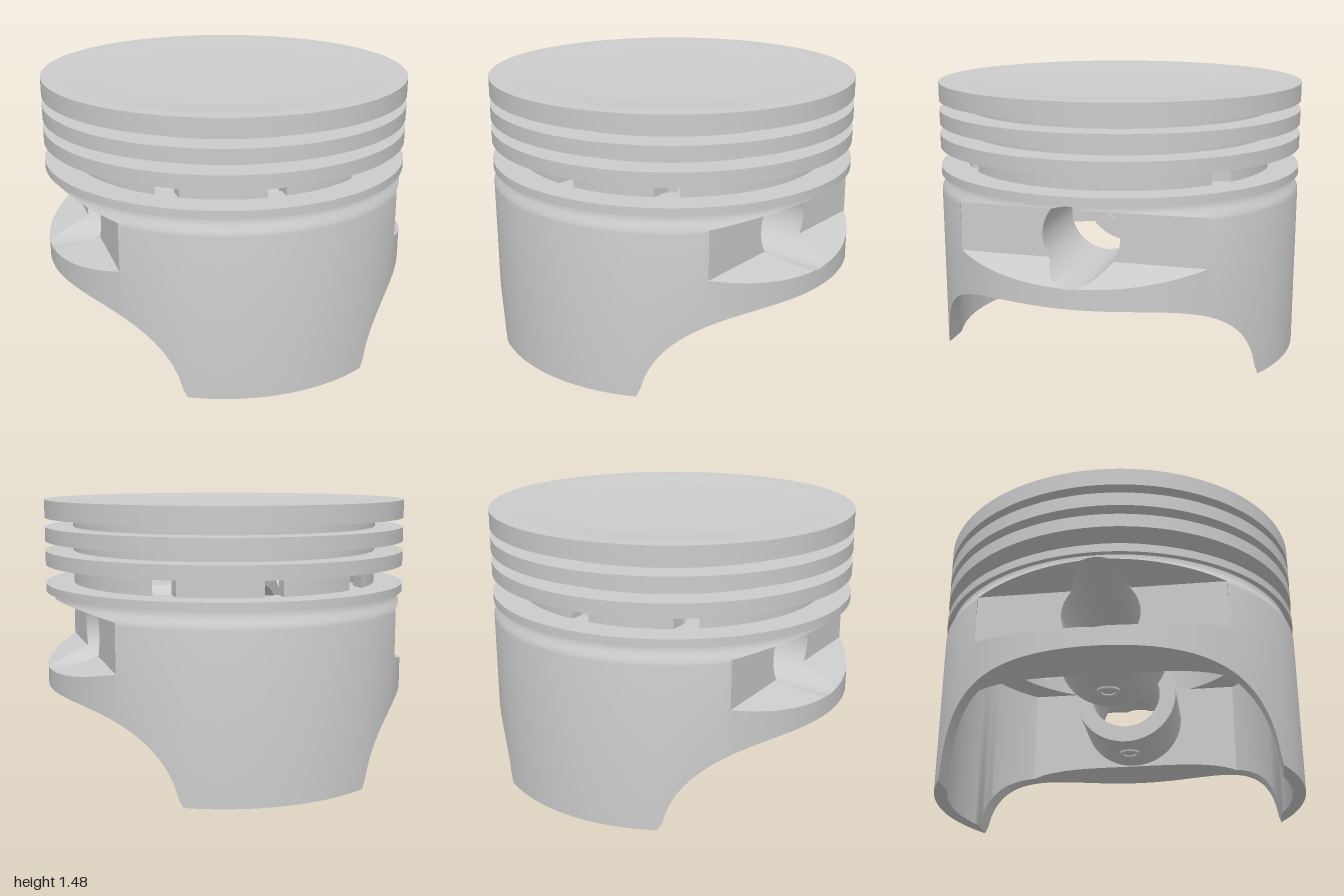
import * as THREE from 'three';
import { toCreasedNormals } from 'three/addons/utils/BufferGeometryUtils.js';

const V = (x, y, z) => new THREE.Vector3(x, y, z);
const WALL = 0.93, FLAT = 0.68, POCKET = 0.76, HALF = 0.65;   // inner radius, inner flat, pocket floor, pocket half width
const PIN_Y = 0.76, PIN_R = 0.205, SKIRT_TOP = 0.975, LIP = 0.9;
const BELT = 0.77;                                            // inner radius behind the rings
const innerEnd = Math.sqrt(WALL * WALL - FLAT * FLAT);
const material = new THREE.MeshStandardMaterial({ color: 0xcccccc });

function mesh(name, geometry, crease = 0.5) {
  const m = new THREE.Mesh(toCreasedNormals(geometry, crease), material);
  m.name = name;
  return m;
}

// Skin closed cross-section loops into one surface
function loft(loops) {
  const n = loops[0].length, pos = [], index = [];
  loops.forEach(loop => loop.forEach(p => pos.push(p.x, p.y, p.z)));
  const at = (i, k) => i * n + (k % n);
  const point = i => loops[Math.floor(i / n)][i % n];
  const tri = (a, b, c) => {
    if (new THREE.Triangle(point(a), point(b), point(c)).getArea() > 1e-9) index.push(a, b, c);
  };
  for (let i = 0; i < loops.length - 1; i++) {
    for (let k = 0; k < n; k++) {
      tri(at(i, k), at(i + 1, k), at(i + 1, k + 1));
      tri(at(i, k), at(i + 1, k + 1), at(i, k + 1));
    }
  }
  const g = new THREE.BufferGeometry();
  g.setAttribute('position', new THREE.Float32BufferAttribute(pos, 3));
  g.setIndex(index);
  return g;
}

const lathe = pts => new THREE.LatheGeometry(pts.map(p => new THREE.Vector2(...p)), 128);

// Height of the arched lower edge at depth z
function arch(z) {
  const x = Math.sqrt(Math.max(0, 1 - z * z));
  if (x < 0.481) return 0;
  if (x < 0.5) return (x - 0.48) / 0.02 * 0.045;
  return Math.sqrt(0.26 - (1 - x) ** 2) - 0.055;
}
// Skirt radius, rounding in near the top
const taper = y => 1 - 0.03 * THREE.MathUtils.smoothstep(y, 0.885, 0.96);
// Profile of the side pocket: flat floor with sloping lips
function pocket(y) {
  if (y < 0.64) return POCKET + (0.64 - y) * 3;
  return y > LIP ? POCKET + (y - LIP) * 4.2 : POCKET;
}
// Height where the upper lip meets the skirt surface
function lipEdge(X) {
  let lo = LIP, hi = SKIRT_TOP;
  for (let i = 0; i < 24; i++) {
    const y = (lo + hi) / 2;
    if (pocket(y) < X * taper(y)) lo = y; else hi = y;
  }
  return lo;
}
// Heights from y up to the top of the skirt
const rise = y => [0, 1, 2, 3, 4].map(k => y + (SKIRT_TOP - y) * k / 4);

// Squeeze the outer sampling so that it ends at the inner corner
function squeeze(v, from, outerEnd, end) {
  const a = Math.abs(v);
  return a <= from ? v : Math.sign(v) * (from + (a - from) * (end - from) / (outerEnd - from));
}
// Underside of the wall, from the inner to the outer edge
function underside(inner, outer) {
  const pts = [];
  for (let i = 0; i <= 8; i++) {
    const p = V(inner.x, 0, inner.z).lerp(V(outer.x, 0, outer.z), i / 8);
    p.y = arch(Math.abs(p.z));
    pts.push(p);
  }
  return pts;
}

// Curved thrust wall facing +z
function thrustWall() {
  const loops = [];
  for (let i = 0; i <= 76; i++) {
    const x = -0.76 + 0.02 * i, z = Math.sqrt(1 - x * x);
    const xi = squeeze(x, 0.5, 0.76, FLAT), zi = Math.sqrt(WALL * WALL - xi * xi);
    const outer = [arch(z), 0.885, ...rise(LIP)].map(y => V(x * taper(y), y, z * taper(y)));
    const mid = V(x, 0, Math.max(zi, Math.min(z, Math.sqrt(1 - 0.48 * 0.48))));
    loops.push([...outer, V(xi, SKIRT_TOP, zi), ...underside(V(xi, 0, zi), mid)]);
  }
  return loft(loops);
}

// Pocketed wall facing +x, in halves below and above the pin bore
function pinWalls() {
  const zs = [];
  for (let i = 0; i < 12; i++) zs.push(HALF - (HALF - PIN_R) * i / 12);
  for (let i = 0; i <= 32; i++) zs.push(PIN_R * Math.cos(Math.PI * i / 32));
  for (let i = 1; i <= 12; i++) zs.push(-PIN_R - (HALF - PIN_R) * i / 12);
  const lower = [], upper = [];
  for (const z of zs) {
    const X = Math.sqrt(1 - z * z), h = Math.sqrt(Math.max(0, PIN_R * PIN_R - z * z));
    const zi = squeeze(z, 0.3, HALF, innerEnd);
    const skin = y => V(Math.min(X * taper(y), pocket(y)), y, z * taper(y));
    const low = [arch(Math.abs(z)), 0.64 - (X - POCKET) / 3, 0.64, PIN_Y]
      .map(y => skin(Math.min(y, PIN_Y - h)));
    const high = [PIN_Y, LIP, ...rise(lipEdge(X))].map(y => skin(Math.max(y, PIN_Y + h)));
    lower.push([...low, V(FLAT, PIN_Y - h, zi), ...underside(V(FLAT, 0, zi), V(X, 0, z))]);
    upper.push([...high, V(FLAT, SKIRT_TOP, zi), V(FLAT, PIN_Y + h, zi)]);
  }
  return [loft(lower), loft(upper)];
}

// Piece of the oil groove wall between straight slots, cut at x0 and x1
function grooveWall(x0, x1) {
  const ro = 0.845, s = new THREE.Shape();
  const ang = (x, r) => x === null ? -Math.acos(0.565 / r) : Math.acos(x / r);
  s.absarc(0, 0, ro, ang(x0, ro), ang(x1, ro), false);
  s.absarc(0, 0, BELT, ang(x1, BELT), ang(x0, BELT), true);
  return new THREE.ExtrudeGeometry(s, { depth: 0.105, bevelEnabled: false, curveSegments: 32 })
    .rotateX(-Math.PI / 2).translate(0, 1.02, 0);
}

// Round boss with a flattened top, bored for the pin, running along +x
function pinBoss() {
  const r = 0.3, a = Math.asin(0.255 / r), s = new THREE.Shape();
  s.absarc(0, 0, r, Math.PI - a, 2 * Math.PI + a, false);
  s.closePath();
  const bore = new THREE.Path();
  bore.absarc(0, 0, PIN_R, 0, 2 * Math.PI, true);
  s.holes.push(bore);
  return new THREE.ExtrudeGeometry(s, { depth: 0.43, bevelEnabled: false, curveSegments: 48 })
    .rotateY(Math.PI / 2).translate(0.26, PIN_Y, 0);
}

export function createModel() {
  const piston = new THREE.Group();
  piston.name = 'piston';

  // Crown with two ring grooves and a shallow dish
  piston.add(mesh('crown', lathe([
    [0, 1.27], [BELT, 1.27], [BELT, 1.122], [1, 1.122], [1, 1.197], [0.845, 1.197], [0.845, 1.25],
    [1, 1.25], [1, 1.327], [0.845, 1.327], [0.845, 1.377], [1, 1.377], [1, 1.475],
    [0.93, 1.475], [0.86, 1.471], [0.78, 1.462], [0.7, 1.455], [0.62, 1.452], [0, 1.45],
  ])));

  // Land below the oil groove
  piston.add(mesh('lowerLand', lathe([
    [BELT, 1.02], [BELT, 0.965], [WALL, 0.965], [0.96, 0.975], [1, 0.975], [1, 1.02], [BELT, 1.02],
  ])));

  const [lowerWall, upperWall] = pinWalls();
  for (let side = 0; side < 2; side++) {
    const half = new THREE.Group();
    half.name = side ? 'backRightHalf' : 'frontLeftHalf';
    half.rotation.y = side * Math.PI;

    // Oil groove wall, broken by drain slots
    half.add(mesh('oilGrooveSide', grooveWall(null, 0.565)));
    half.add(mesh('oilGrooveWall', grooveWall(0.463, 0.05)));
    half.add(mesh('oilGrooveWall', grooveWall(-0.05, -0.463)));

    // Skirt
    half.add(mesh('thrustSkirt', thrustWall()));
    half.add(mesh('lowerPinWall', lowerWall));
    half.add(mesh('upperPinWall', upperWall));

    // Pin boss with its oil hole rim
    half.add(mesh('pinBoss', pinBoss()));
    const rim = new THREE.TorusGeometry(0.05, 0.012, 8, 32).rotateX(Math.PI / 2)
      .translate(0.46, PIN_Y - 0.3, 0);
    half.add(mesh('oilHoleRim', rim, 1));
    piston.add(half);
  }
  return piston;
}
